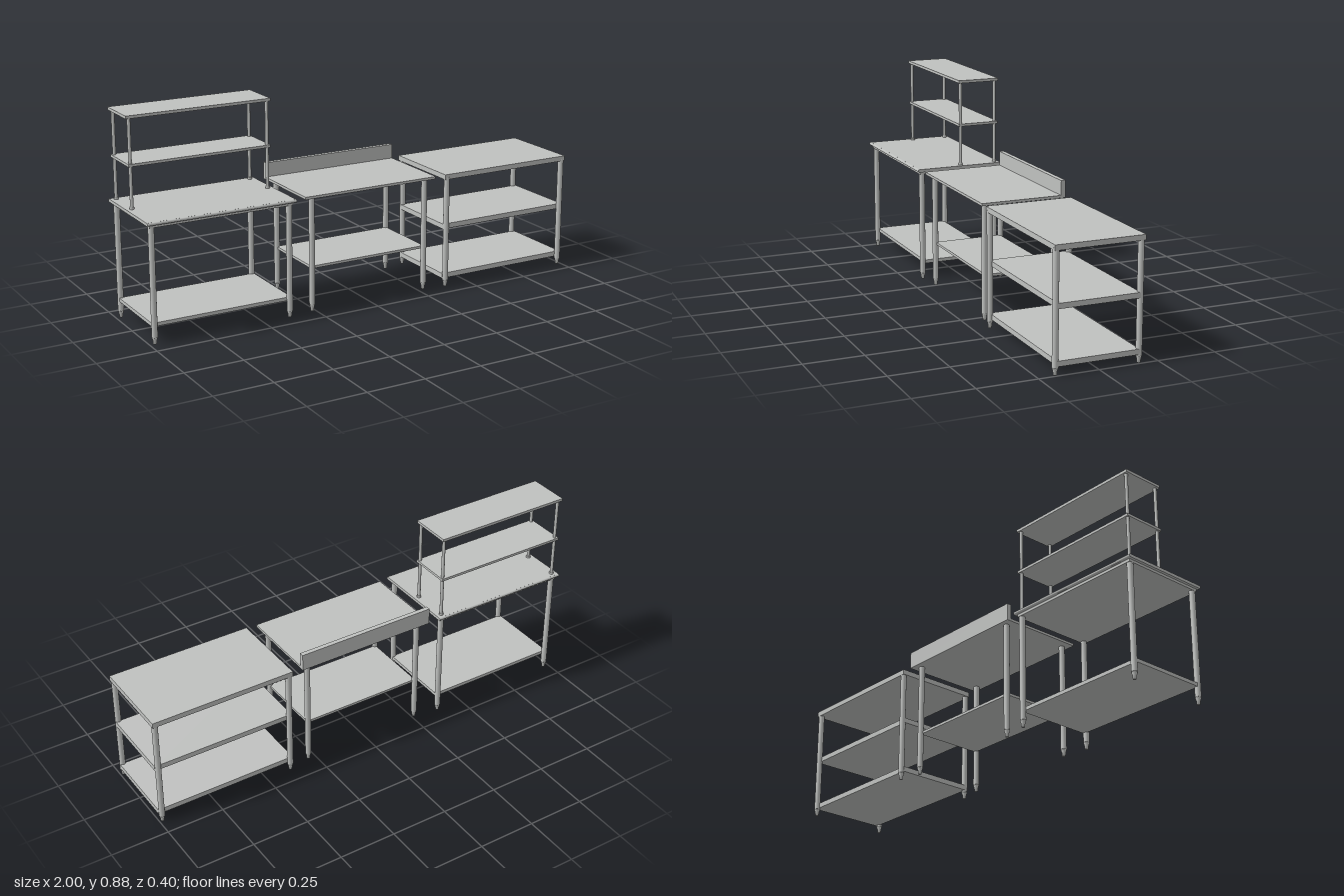
import * as THREE from 'three';

const steel = new THREE.MeshStandardMaterial({ color: 0xc0c2c0 });
steel.name = 'brushedSteel';

function add(parent, geometry, name) {
  const mesh = new THREE.Mesh(geometry, steel);
  mesh.name = name;
  parent.add(mesh);
  return mesh;
}

// Box given by its limits on each axis
function slab(parent, name, x0, x1, y0, y1, z0, z1) {
  const mesh = add(parent, new THREE.BoxGeometry(x1 - x0, y1 - y0, z1 - z0), name);
  mesh.position.set((x0 + x1) / 2, (y0 + y1) / 2, (z0 + z1) / 2);
}

// Round tube standing at x, z
function tube(parent, name, r, x, y0, y1, z) {
  const mesh = add(parent, new THREE.CylinderGeometry(r, r, y1 - y0, 20), name);
  mesh.position.set(x, (y0 + y1) / 2, z);
}

// Four legs, each with a tapered bullet foot
function legs(parent, xs, zs, top) {
  const profile = [[0, 0], [0.007, 0], [0.0085, 0.016], [0.0118, 0.026], [0.0118, 0.03], [0, 0.03]]
    .map(([r, y]) => new THREE.Vector2(r, y));
  for (const x of xs) {
    for (const z of zs) {
      tube(parent, 'leg', 0.0125, x, 0.029, top, z);
      add(parent, new THREE.LatheGeometry(profile, 20), 'foot').position.set(x, 0, z);
    }
  }
}

function group(parent, name) {
  const g = new THREE.Group();
  g.name = name;
  parent.add(g);
  return g;
}

export function createModel() {
  const model = new THREE.Group();
  model.name = 'steelWorktables';

  // Worktable with rolled edges and a two-tier overshelf
  const prep = group(model, 'overshelfTable');
  const prepX = [-0.976, -0.377];
  legs(prep, prepX, [0.174, -0.172], 0.485);
  slab(prep, 'underFrame', -0.988, -0.365, 0.479, 0.491, -0.186, 0.188);
  slab(prep, 'tableTop', -1, -0.353, 0.49, 0.503, -0.193, 0.194);
  for (const z of [0.193, -0.192]) {
    const edge = add(prep, new THREE.CylinderGeometry(0.0065, 0.0065, 0.647, 16), 'rolledEdge');
    edge.rotation.z = Math.PI / 2;
    edge.position.set(-0.6765, 0.4965, z);
  }
  slab(prep, 'lowerShelf', -0.984, -0.369, 0.07, 0.085, -0.168, 0.17);

  const rack = group(prep, 'overshelf');
  for (const x of prepX) {
    for (const z of [-0.0105, -0.173]) {
      tube(rack, 'post', 0.007, x, 0.503, 0.872, z);
      tube(rack, 'postCollar', 0.0095, x, 0.503, 0.512, z);
    }
  }
  slab(rack, 'middleShelf', -0.988, -0.367, 0.677, 0.688, -0.186, 0);
  slab(rack, 'topShelf', -0.992, -0.364, 0.87, 0.882, -0.186, 0);

  // Worktable with a backsplash
  const splash = group(model, 'backsplashTable');
  legs(splash, [-0.263, 0.281], [0.157, -0.154], 0.495);
  slab(splash, 'tableTop', -0.305, 0.32, 0.491, 0.502, -0.187, 0.185);
  slab(splash, 'backsplash', -0.305, 0.32, 0.5, 0.564, -0.187, -0.167);
  slab(splash, 'lowerShelf', -0.265, 0.283, 0.182, 0.193, -0.151, 0.154);

  // Low stand with two shelves
  const stand = group(model, 'lowStand');
  legs(stand, [0.382, 0.986], [0.177, -0.174], 0.49);
  slab(stand, 'tableTop', 0.367, 1, 0.481, 0.503, -0.187, 0.188);
  slab(stand, 'middleShelf', 0.369, 0.999, 0.258, 0.28, -0.171, 0.173);
  slab(stand, 'lowerShelf', 0.369, 0.999, 0.035, 0.057, -0.171, 0.173);

  return model;
}
